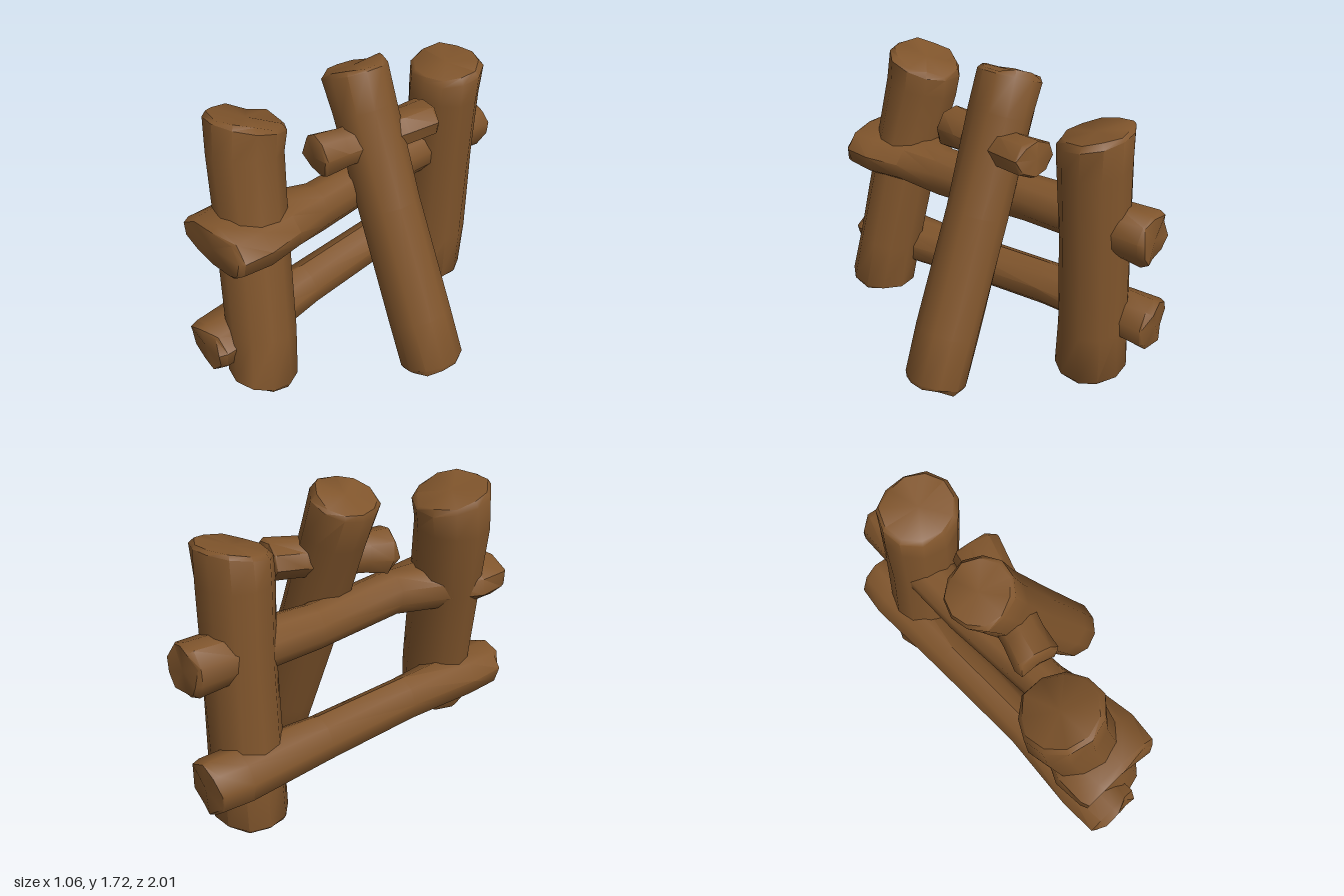
import * as THREE from 'three';
import { toCreasedNormals } from 'three/addons/utils/BufferGeometryUtils.js';

// Small seeded generator, returns values in -1..1
function seeded(seed) {
  let s = seed * 7919 + 17;
  return () => {
    s = (s * 16807) % 2147483647;
    return (s / 2147483647) * 2 - 1;
  };
}

// A rough log lofted through stations [x, y, z, radiusU, radiusV, tiltU, tiltV].
// U is the sideways (x) direction, V is square to it and to the log's axis.
function logGeometry(stations, { sides = 11, seed = 1, wobble = 0.03, jag = 0.01, bevel = 0.025 }) {
  const rand = seeded(seed);
  const centres = stations.map(s => new THREE.Vector3(s[0], s[1], s[2]));
  const axis = centres.at(-1).clone().sub(centres[0]).normalize();
  const u = new THREE.Vector3(1, 0, 0).addScaledVector(axis, -axis.x).normalize();
  const v = new THREE.Vector3().crossVectors(axis, u);

  // Each end gets a slightly smaller extra ring, for a worn rim
  const rings = stations.map((s, i) => ({ s, c: centres[i], scale: 1, shift: 0, end: 0 }));
  const first = rings[0], last = rings.at(-1);
  first.shift = bevel;
  last.shift = -bevel;
  rings.unshift({ ...first, scale: 0.9, shift: 0, end: 1 });
  rings.push({ ...last, scale: 0.9, shift: 0, end: 1 });

  const pos = [], index = [];
  const bark = Array.from({ length: sides }, () => 1 + rand() * wobble);
  for (const { s, c, scale, shift, end } of rings) {
    const [, , , ru, rv, tu = 0, tv = 0] = s;
    for (let j = 0; j < sides; j++) {
      const a = (j / sides) * Math.PI * 2 + 0.2;
      const r = scale * bark[j] * (1 + rand() * wobble);
      const du = Math.cos(a) * ru * r, dv = Math.sin(a) * rv * r;
      const along = shift + du * tu + dv * tv + end * rand() * jag;
      const p = c.clone().addScaledVector(u, du).addScaledVector(v, dv).addScaledVector(axis, along);
      pos.push(p.x, p.y, p.z);
    }
  }
  for (let i = 0; i < rings.length - 1; i++) {
    for (let j = 0; j < sides; j++) {
      const k = (j + 1) % sides;
      const a = i * sides + j, b = i * sides + k;
      index.push(a, b, b + sides, a, b + sides, a + sides);
    }
  }
  // Cut faces
  const c0 = rings.length * sides, c1 = c0 + 1, top = (rings.length - 1) * sides;
  pos.push(...centres[0].toArray(), ...centres.at(-1).toArray());
  for (let j = 0; j < sides; j++) {
    const k = (j + 1) % sides;
    index.push(c0, k, j, c1, top + j, top + k);
  }
  const g = new THREE.BufferGeometry();
  g.setAttribute('position', new THREE.Float32BufferAttribute(pos, 3));
  g.setIndex(index);
  return toCreasedNormals(g, 0.85);
}

export function createModel() {
  const group = new THREE.Group();
  const wood = new THREE.MeshStandardMaterial({ color: 0x80552c });
  wood.name = 'brown wood';

  const add = (name, stations, options) => {
    const mesh = new THREE.Mesh(logGeometry(stations, options), wood);
    mesh.name = name;
    group.add(mesh);
  };

  // Uprights, from foot to top
  add('frontPost', [
    [-0.10, 0.22, 0.76, 0.20, 0.185, -0.16, 0],
    [-0.14, 0.50, 0.72, 0.20, 0.18],
    [-0.24, 1.06, 0.65, 0.20, 0.18],
    [-0.32, 1.45, 0.59, 0.205, 0.195],
    [-0.33, 1.62, 0.565, 0.21, 0.20, -0.1, -0.18],
  ], { seed: 3, jag: 0.015 });
  add('backPost', [
    [-0.26, 0.13, -0.67, 0.21, 0.195],
    [-0.24, 0.45, -0.67, 0.205, 0.19],
    [-0.20, 1.00, -0.66, 0.20, 0.185],
    [-0.17, 1.40, -0.65, 0.21, 0.185],
    [-0.16, 1.57, -0.65, 0.21, 0.185, 0, 0.2],
  ], { seed: 5 });
  add('leaningProp', [
    [0.37, 0.09, -0.07, 0.18, 0.175],
    [0.26, 0.38, -0.07, 0.175, 0.175],
    [0.01, 1.00, -0.07, 0.17, 0.17],
    [-0.18, 1.50, -0.07, 0.17, 0.17],
    [-0.26, 1.71, -0.07, 0.18, 0.17],
  ], { seed: 8, jag: 0.015 });

  // Rails, from back to front
  add('lowerRail', [
    [-0.36, 0.48, -0.98, 0.14, 0.15],
    [-0.36, 0.48, -0.80, 0.145, 0.14],
    [-0.34, 0.47, -0.30, 0.12, 0.13],
    [-0.30, 0.45, 0.30, 0.12, 0.13],
    [-0.27, 0.44, 0.75, 0.16, 0.14],
    [-0.26, 0.44, 0.99, 0.15, 0.14],
  ], { sides: 9, seed: 12, wobble: 0.05, jag: 0.02 });
  add('upperRail', [
    [-0.23, 1.06, -0.98, 0.14, 0.14],
    [-0.23, 1.06, -0.75, 0.14, 0.13],
    [-0.23, 1.05, -0.25, 0.12, 0.125],
    [-0.17, 1.05, 0.30, 0.12, 0.13],
    [-0.20, 1.06, 0.52, 0.20, 0.13],
    [-0.22, 1.06, 0.72, 0.26, 0.14],
    [-0.22, 1.06, 0.90, 0.25, 0.14],
  ], { sides: 10, seed: 21, wobble: 0.04, jag: 0.02 });
  add('shortCrossbar', [
    [-0.04, 1.39, -0.40, 0.13, 0.10],
    [-0.08, 1.37, -0.22, 0.12, 0.10],
    [-0.16, 1.34, 0.12, 0.11, 0.11],
    [-0.19, 1.33, 0.27, 0.12, 0.125],
  ], { sides: 8, seed: 30, wobble: 0.05, jag: 0.02 });

  return group;
}
